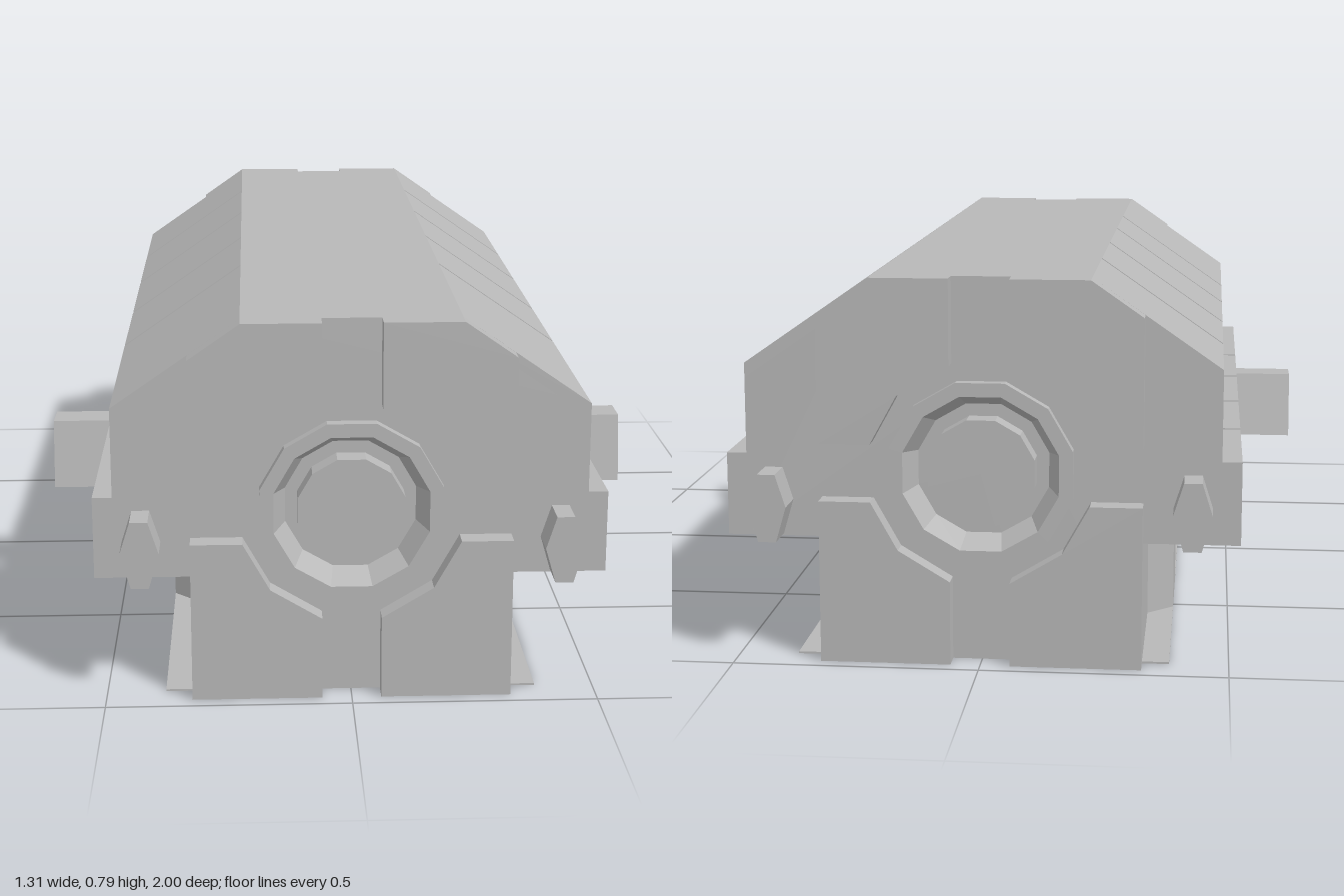
import * as THREE from 'three';

export function createModel() {
  const model = new THREE.Group();
  model.name = 'armouredPowerUnit';
  const grey = new THREE.MeshStandardMaterial({ color: 0xb8b8b8 });
  grey.name = 'plainGrey';

  const add = (name, geometry, parent = model) => {
    const mesh = new THREE.Mesh(geometry, grey);
    mesh.name = name;
    parent.add(mesh);
    return mesh;
  };
  // Prism of an x-y outline between two z positions
  const prism = (points, z0, z1, hole) => {
    const shape = new THREE.Shape(points.map(p => new THREE.Vector2(...p)));
    if (hole) shape.holes.push(new THREE.Path(hole.map(p => new THREE.Vector2(...p))));
    return new THREE.ExtrudeGeometry(shape, { depth: z1 - z0, bevelEnabled: false }).translate(0, 0, z0);
  };
  const mirrored = half => [...half, ...half.map(([x, y]) => [-x, y]).reverse()];
  const flip = (points, s) => points.map(([x, y]) => [s * x, y]);

  const END = 0.925, PLATE = 0.97, HUB_Y = 0.39;
  const circum = a => a / Math.cos(Math.PI / 12);
  const twelve = a => Array.from({ length: 12 }, (_, i) => {
    const t = Math.PI / 12 + i * Math.PI / 6;
    return [circum(a) * Math.cos(t), HUB_Y + circum(a) * Math.sin(t)];
  });

  // Main body, with lowered shoulders beneath the armour panels
  const core = mirrored([[0.325, 0], [0.325, 0.25], [0.48, 0.25], [0.48, 0.58], [0.22, 0.76], [0.22, 0.785]]);
  const full = mirrored([[0.325, 0], [0.325, 0.25], [0.48, 0.25], [0.48, 0.605], [0.22, 0.785]]);
  add('body', prism(core, -0.87, 0.87));

  // Bottom skid plate
  add('skidPlate', new THREE.BoxGeometry(0.76, 0.004, 2 * END).translate(0, 0.002, 0));

  // Panels and rails, divided by narrow gaps
  const cuts = [-END, -0.588, -0.26, 0.08, 0.407, END];
  const gap = 0.006;
  for (const s of [1, -1]) {
    const side = s > 0 ? 'left' : 'right';
    for (let i = 0; i < 5; i++) {
      const z0 = cuts[i] + (i > 0 ? gap : 0);
      const z1 = cuts[i + 1] - (i < 4 ? gap : 0);
      add(side + 'ShoulderPanel' + (i + 1),
        prism(flip([[0.22, 0.755], [0.48, 0.575], [0.48, 0.605], [0.22, 0.785]], s), z0, z1));
      add(side + 'Rail' + (i + 1),
        prism(flip([[0.47, 0.25], [0.52, 0.25], [0.52, 0.42], [0.47, 0.42]], s), z0, z1));
    }

    // Tapered side bracket
    const bracket = prism([[-0.33, 0.25], [-0.19, 0.25], [-0.225, 0.402], [-0.305, 0.402]], 0, 0.155);
    bracket.rotateY(Math.PI / 2).scale(1, 1, 1);
    add(side + 'Bracket', bracket.translate(s > 0 ? 0.5 : -0.655, 0, 0));

    // Sloped-ended blocks along the lower body
    for (const [z0, z1] of [[0.08, 0.44], [-0.59, -0.235]]) {
      const plan = [[0.32, -z1], [0.38, -z1 + 0.06], [0.38, -z0 - 0.06], [0.32, -z0]];
      add(side + 'LowerBlock', prism(flip(plan, s), 0, 0.25).rotateX(-Math.PI / 2));
    }
  }

  // Both ends are alike
  for (const [name, turn] of [['front', 0], ['back', Math.PI]]) {
    const end = new THREE.Group();
    end.name = name + 'End';
    end.rotation.y = turn;
    model.add(end);

    add(name + 'Bulkhead', prism(full, 0.865, END, twelve(0.165)), end);

    // Raised corner plates and hexagonal lugs
    for (const s of [1, -1]) {
      add(name + 'UpperPlate', prism(flip([[0.325, 0.45], [0.22, 0.45], [0.165, 0.55], [0.06, 0.61],
        [0.06, 0.785], [0.22, 0.785], [0.325, 0.712]], s), END - 0.01, PLATE), end);
      add(name + 'LowerPlate', prism(flip([[0.325, 0.333], [0.22, 0.333], [0.165, 0.235], [0.06, 0.172],
        [0.06, 0], [0.325, 0]], s), END - 0.01, PLATE), end);
      const lug = [[0.385, 0.326], [0.406, 0.254], [0.442, 0.254], [0.463, 0.326], [0.442, 0.392], [0.406, 0.392]];
      add(name + 'Lug', prism(flip(lug, s), END - 0.01, 1), end);
    }

    // Twelve-sided port: rim, tapering wall and central disc
    const profile = [[0.185, 0.9], [0.185, 0.95], [0.157, 0.95], [0.133, 0.89], [0.108, 0.89], [0.108, 0.94], [0, 0.94]];
    const port = new THREE.LatheGeometry(
      profile.map(([a, z]) => new THREE.Vector2(circum(a), z)), 12, Math.PI / 12).toNonIndexed();
    port.computeVertexNormals();
    add(name + 'Port', port.rotateX(Math.PI / 2).translate(0, HUB_Y, 0), end);
  }
  return model;
}
